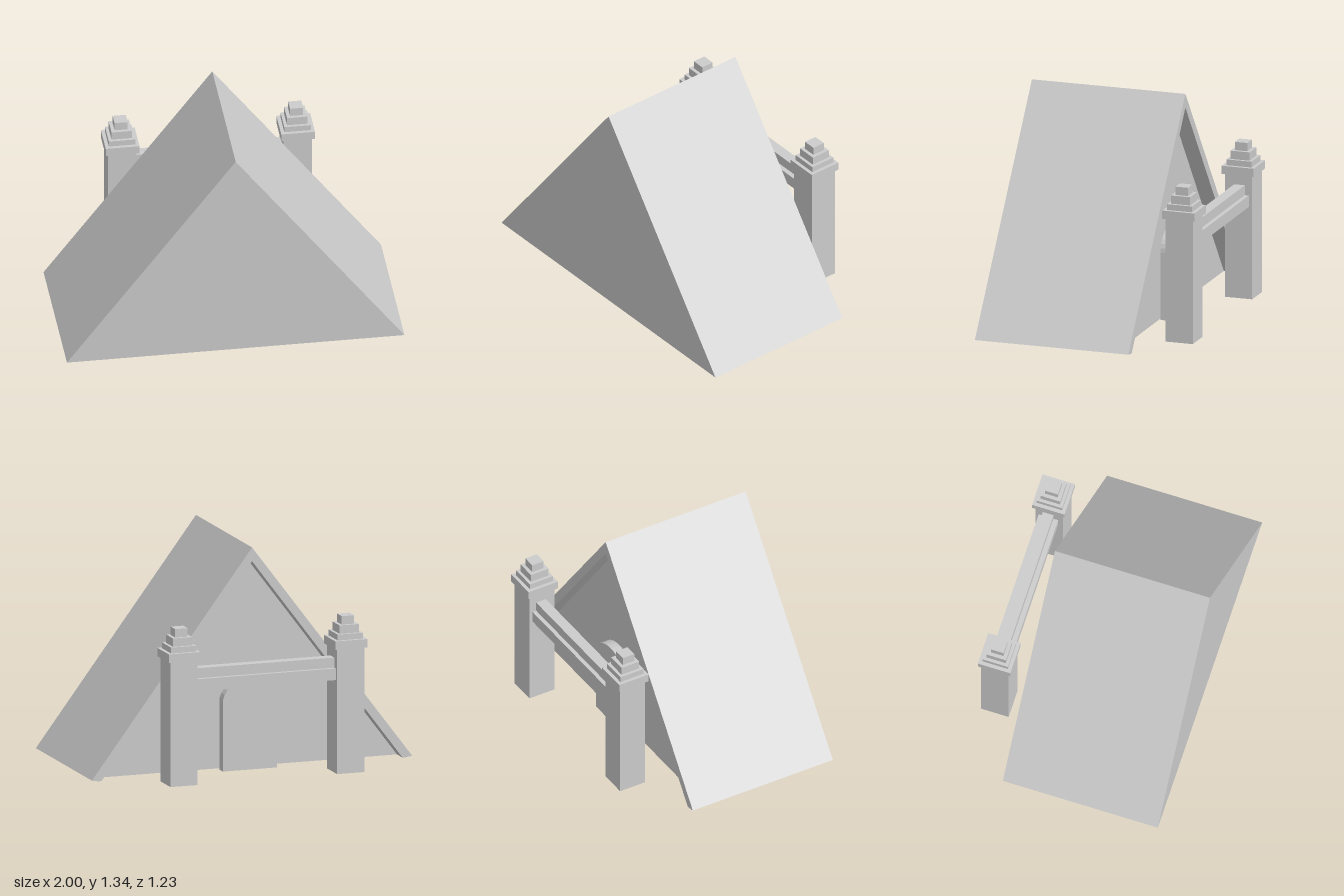
import * as THREE from 'three';

const solid = new THREE.MeshStandardMaterial({ color: 0xcccccc, flatShading: true });
const shell = new THREE.MeshStandardMaterial({ color: 0xcccccc, flatShading: true, side: THREE.DoubleSide });

const APEX = 1.34, EAVE = 0.015, FOOT = 0.008;
const FRONT = 0.615, BACK = -0.34, WALL = -0.245;

function add(parent, name, geometry, material, x = 0, y = 0, z = 0) {
  const mesh = new THREE.Mesh(geometry, material);
  mesh.name = name;
  mesh.position.set(x, y, z);
  parent.add(mesh);
  return mesh;
}

function box(parent, name, w, y0, y1, d, z) {
  return add(parent, name, new THREE.BoxGeometry(w, y1 - y0, d), solid, 0, (y0 + y1) / 2, z);
}

const polygon = (points) => new THREE.Shape(points.map(([x, y]) => new THREE.Vector2(x, y)));
const extrude = (shape, depth) =>
  new THREE.ExtrudeGeometry(shape, { depth, bevelEnabled: false, curveSegments: 8 });

// Square pillar, hollow underneath, with a stepped cap
function createPillar(side) {
  const pillar = new THREE.Group();
  pillar.name = side > 0 ? 'leftPillar' : 'rightPillar';
  pillar.position.set(side * 0.52, 0, -0.516);
  const shaft = new THREE.CylinderGeometry(0.085 * Math.SQRT2, 0.085 * Math.SQRT2, 0.75, 4, 1, true);
  shaft.rotateY(Math.PI / 4);
  add(pillar, 'shaft', shaft, shell, 0, 0.375, 0);
  const steps = [[0.2, 0.75, 0.8], [0.157, 0.8, 0.835], [0.12, 0.835, 0.885], [0.078, 0.885, 0.935]];
  steps.forEach(([size, y0, y1], i) => box(pillar, `capStep${i + 1}`, size, y0, y1, size, 0));
  return pillar;
}

export function createModel() {
  const model = new THREE.Group();
  model.name = 'tentHouse';

  // Two roof slopes, open underneath
  const length = FRONT - BACK, rise = APEX - EAVE;
  for (const side of [1, -1]) {
    const slope = new THREE.PlaneGeometry(length, Math.hypot(1, rise));
    slope.rotateY(side * Math.PI / 2);
    slope.rotateZ(side * Math.atan2(1, rise));
    add(model, side > 0 ? 'leftRoofSlope' : 'rightRoofSlope', slope, shell,
      side * 0.5, (APEX + EAVE) / 2, (FRONT + BACK) / 2);
  }

  // Front gable and the recessed back gable wall
  add(model, 'frontGable', new THREE.ShapeGeometry(polygon([[-1, EAVE], [1, EAVE], [0, APEX]])),
    shell, 0, 0, FRONT);
  add(model, 'backGableWall',
    new THREE.ShapeGeometry(polygon([[-0.94, FOOT], [0.94, FOOT], [0, APEX - 0.083]])), shell, 0, 0, WALL);

  // Sloping trim around the back gable
  const trim = polygon([[-1, EAVE], [-0.96, FOOT], [-0.94, FOOT], [0, APEX - 0.083],
    [0.94, FOOT], [0.96, FOOT], [1, EAVE], [0, APEX]]);
  add(model, 'gableTrim', extrude(trim, WALL - BACK), solid, 0, 0, BACK);

  // Arched door standing proud of the back wall
  const arch = new THREE.Shape();
  arch.moveTo(-0.17, 0);
  arch.lineTo(0.17, 0);
  arch.lineTo(0.17, 0.41);
  arch.absellipse(0, 0.41, 0.17, 0.13, 0, Math.PI, false, 0);
  arch.lineTo(-0.17, 0);
  add(model, 'door', extrude(arch, 0.06), solid, 0, 0, WALL - 0.06);

  // Gateway: two pillars joined by a stepped beam
  const gateway = new THREE.Group();
  gateway.name = 'gateway';
  gateway.add(createPillar(1), createPillar(-1));
  box(gateway, 'lowerBeam', 0.87, 0.56, 0.63, 0.12, -0.52);
  box(gateway, 'upperBeam', 0.87, 0.63, 0.69, 0.066, -0.522);
  model.add(gateway);

  return model;
}
